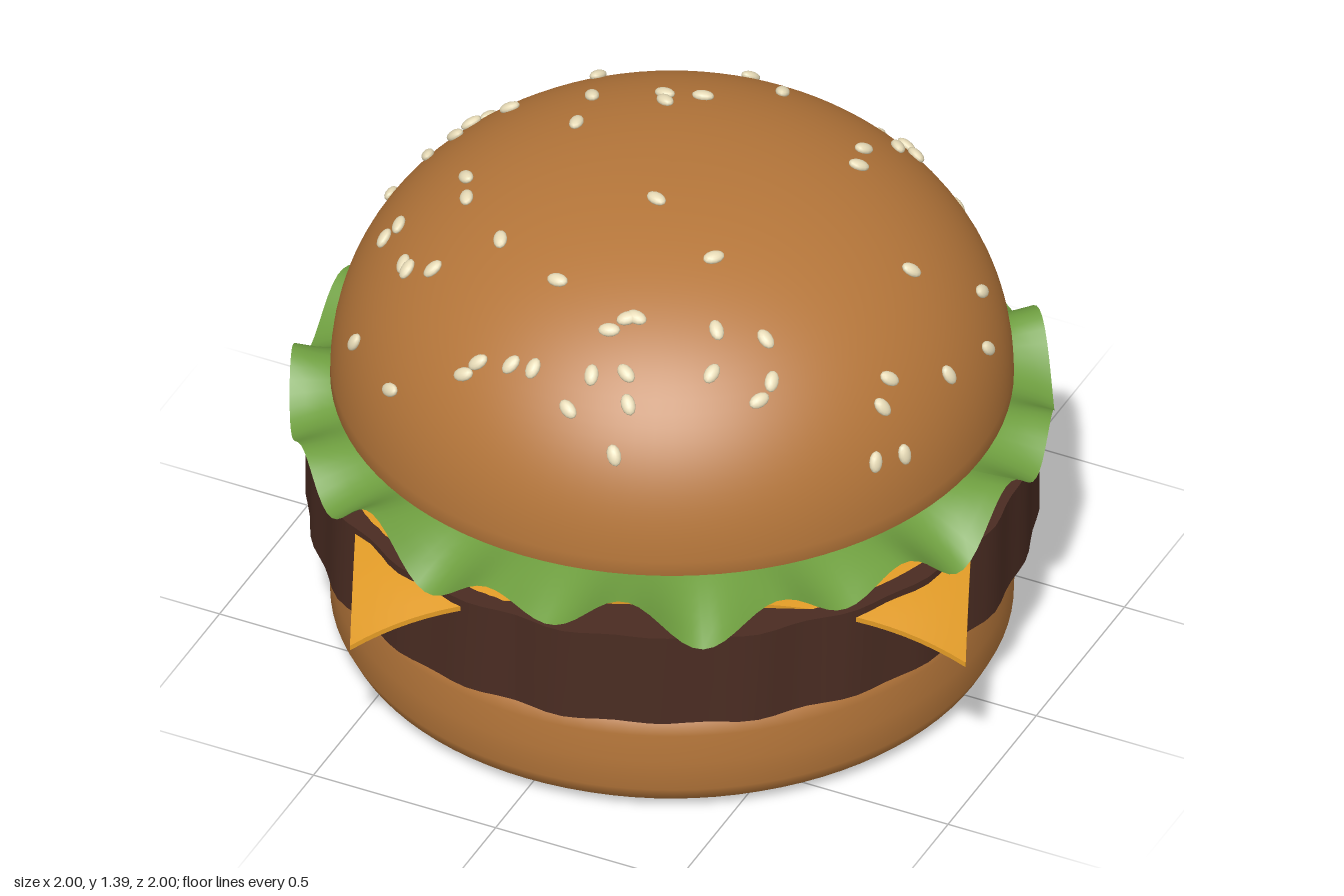
import * as THREE from 'three';

const mat = (name, color, extra = {}) => {
  const m = new THREE.MeshStandardMaterial({ color, ...extra });
  m.name = name;
  return m;
};

const DOME = { base: 0.73, radius: 0.845, height: 0.65, power: 2.2 };

// Seed positions on the crown, as x, z pairs seen from above
const SEEDS = [
  -.29, -.71, -.12, -.76, 0, -.76, .12, -.77, .21, -.74, -.1, -.65, .38, -.72, .45, -.68, .33, -.64, .38, -.59,
  .36, -.53, .06, -.5, -.41, -.43, .34, -.38, .37, -.29, -.07, -.32, -.16, -.29, -.14, -.25, -.33, -.23, -.3, -.08,
  -.66, -.33, -.75, -.31, -.64, -.19, -.54, -.2, -.65, -.12, -.8, -.08, -.7, -.07, -.79, -.05, .72, -.26, .79, -.15,
  .62, -.07, .78, .05, .03, .15, -.49, .15, -.45, .23, -.62, .26, -.65, .28, .24, .26, .7, .22, .71, .28,
  .77, .28, .73, .36, -.29, .37, -.54, .4, -.52, .42, -.44, .44, -.62, .51, -.09, .46, .44, .38, .33, .43,
  .49, .45, .36, .52, .48, .5, .12, .5, .09, .54, .14, .49, .17, .61, .2, .66, .09, .64, -.06, .66,
  -.12, .66, -.21, .66, -.24, .68, -.45, .66, .06, .71, .2, .74,
];

// Moves every vertex of a geometry by a rule, then rebuilds the normals
function reshape(geometry, rule) {
  const pos = geometry.attributes.position;
  const v = new THREE.Vector3();
  for (let i = 0; i < pos.count; i++) {
    v.fromBufferAttribute(pos, i);
    rule(v);
    pos.setXYZ(i, v.x, v.y, v.z);
  }
  geometry.computeVertexNormals();
  return geometry;
}

const domeY = (r) => DOME.base + DOME.height * Math.pow(Math.max(0, 1 - Math.pow(r / DOME.radius, DOME.power)), 1 / DOME.power);

export function createModel() {
  const burger = new THREE.Group();
  burger.name = 'burger';

  const bun = mat('bun brown', 0xb5763a);
  const meat = mat('patty brown', 0x4a2c22);
  const cheddar = mat('cheese yellow', 0xe09a25);
  const tomatoRed = mat('tomato red', 0xc0302a);
  const leaf = mat('lettuce green', 0x6f9f40, { side: THREE.DoubleSide });
  const sesame = mat('sesame cream', 0xe8dcb8);

  const add = (name, geometry, material, y = 0, parent = burger) => {
    const mesh = new THREE.Mesh(geometry, material);
    mesh.name = name;
    mesh.position.y = y;
    parent.add(mesh);
    return mesh;
  };
  const lathe = (points) => new THREE.LatheGeometry(points.map(([x, y]) => new THREE.Vector2(x, y)), 96);

  // Bottom bun: a rounded wall between two flat discs
  add('bottomBun', lathe([
    [0, 0], [0.76, 0], [0.79, 0.008], [0.825, 0.035], [0.845, 0.075], [0.848, 0.16],
    [0.845, 0.24], [0.838, 0.28], [0.81, 0.3], [0.775, 0.318], [0.74, 0.322], [0, 0.322],
  ]), bun);

  // Patty with an uneven rim
  add('patty', reshape(new THREE.CylinderGeometry(0.9, 0.9, 0.262, 128, 2), (v) => {
    const a = Math.atan2(v.z, v.x);
    const k = 1 + 0.007 * Math.sin(23 * a) + 0.005 * Math.sin(14 * a + 1);
    v.x *= k;
    v.z *= k;
  }), meat, 0.451);

  // Square cheese slice, its corners drooping over the patty
  const slice = new THREE.BoxGeometry(1.523, 0.014, 1.523, 40, 1, 40).rotateY(0.405);
  add('cheese', reshape(slice, (v) => {
    const over = Math.max(0, Math.hypot(v.x, v.z) - 0.76);
    v.y -= 1.65 * over * over;
  }), cheddar, 0.589);

  // Tomato slice
  add('tomato', new THREE.CylinderGeometry(0.58, 0.58, 0.075, 64), tomatoRed, 0.648);

  // Lettuce: a flat ring that ruffles towards its edge
  const ring = new THREE.RingGeometry(0.4, 0.945, 224, 14).rotateX(-Math.PI / 2);
  add('lettuce', reshape(ring, (v) => {
    const a = Math.atan2(v.z, v.x);
    const t = Math.max(0, (Math.hypot(v.x, v.z) - 0.6) / 0.345);
    const wave = 0.052 * Math.sin(16 * a + 0.6) + 0.026 * Math.sin(9 * a + 2);
    v.y = t * t * (wave - 0.035);
  }), leaf, 0.691);

  // Top bun: full dome with a flat underside
  const profile = [[0, DOME.base], [0.835, DOME.base], [DOME.radius, DOME.base + 0.004]];
  for (let i = 1; i <= 32; i++) {
    const r = DOME.radius * Math.cos((i / 32) * Math.PI / 2);
    profile.push([i === 32 ? 0 : r, domeY(r)]);
  }
  add('topBun', lathe(profile), bun);

  // Sesame seeds lying on the dome, each turned a different way
  const seeds = new THREE.Group();
  seeds.name = 'sesameSeeds';
  burger.add(seeds);
  const seedShape = new THREE.SphereGeometry(1, 12, 8).scale(0.028, 0.013, 0.018);
  const up = new THREE.Vector3(0, 1, 0);
  for (let i = 0; i < SEEDS.length; i += 2) {
    const x = SEEDS[i], z = SEEDS[i + 1];
    const r = Math.hypot(x, z);
    const slope = (domeY(r - 0.005) - domeY(r + 0.005)) / 0.01;
    const normal = new THREE.Vector3(x / r * slope, 1, z / r * slope).normalize();
    const seed = add('sesameSeed', seedShape, sesame, 0, seeds);
    seed.position.set(x, domeY(r), z).addScaledVector(normal, 0.006);
    seed.quaternion.setFromUnitVectors(up, normal);
    seed.rotateY(i * 1.37);
  }

  return burger;
}
